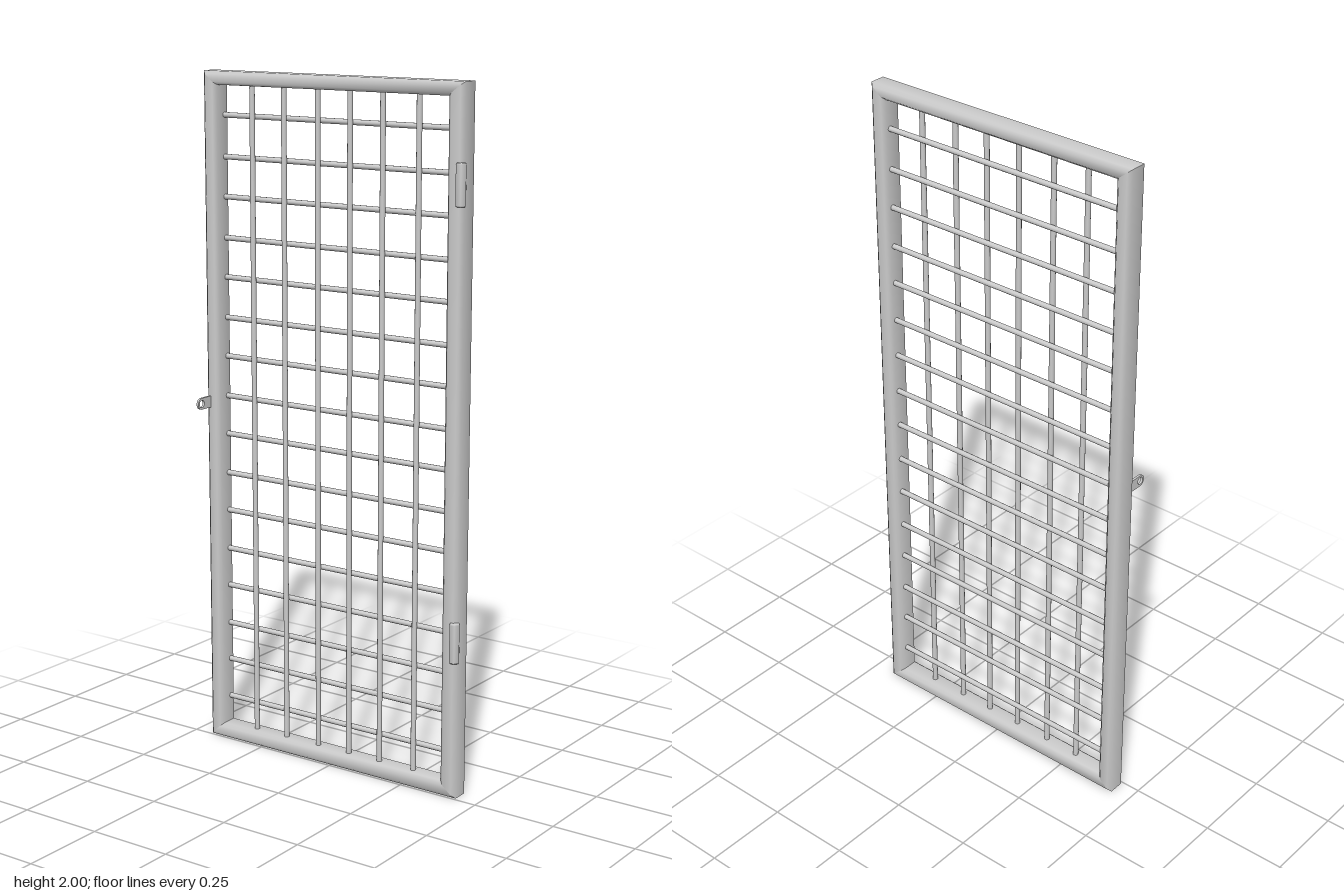
import * as THREE from 'three';

const grey = new THREE.MeshStandardMaterial({ color: 0xcccccc });

function add(group, name, geometry) {
  const mesh = new THREE.Mesh(geometry, grey);
  mesh.name = name;
  group.add(mesh);
  return mesh;
}

// Mitred rectangular frame: each side is a smooth eight-sided bar, creased at the mitres
function frameGeometry() {
  const outer = [[-0.442, 0], [0.432, 0], [0.432, 2], [-0.442, 2]];
  const inner = [[-0.395, 0.043], [0.381, 0.043], [0.381, 1.961], [-0.395, 1.961]];
  // Section points: [share of the way from outer to inner edge, z]
  const section = [
    [0, -0.053], [0, -0.008], [0.22, 0.002], [0.78, 0.002],
    [1, -0.008], [1, -0.053], [0.78, -0.063], [0.22, -0.063],
  ];
  const positions = [], indices = [];
  const n = section.length;
  for (let side = 0; side < 4; side++) {
    const base = side * n * 2;
    for (const corner of [side, (side + 1) % 4]) {
      const o = outer[corner], i = inner[corner];
      for (const [t, z] of section) {
        positions.push(o[0] + (i[0] - o[0]) * t, o[1] + (i[1] - o[1]) * t, z);
      }
    }
    for (let k = 0; k < n; k++) {
      const a = base + k, e = base + (k + 1) % n;
      indices.push(a, a + n, e + n, a, e + n, e);
    }
  }
  const geometry = new THREE.BufferGeometry();
  geometry.setAttribute('position', new THREE.Float32BufferAttribute(positions, 3));
  geometry.setIndex(indices);
  geometry.computeVertexNormals();
  return geometry;
}

// Six-sided barrel with slightly chamfered ends
function hingeGeometry() {
  const r = 0.016, h = 0.058;
  const profile = [[0, -h], [r - 0.003, -h], [r, -h + 0.004], [r, h - 0.004], [r - 0.003, h], [0, h]];
  return new THREE.LatheGeometry(profile.map(([x, y]) => new THREE.Vector2(x, y)), 6).rotateY(Math.PI / 6);
}

// Flat tab with a rounded, pierced end
function lugGeometry() {
  const radius = 0.017, reach = 0.044;
  const shape = new THREE.Shape();
  shape.moveTo(-0.005, -radius);
  shape.lineTo(reach, -radius);
  shape.absarc(reach, 0, radius, -Math.PI / 2, Math.PI / 2, false);
  shape.lineTo(-0.005, radius);
  shape.closePath();
  const hole = new THREE.Path();
  hole.absarc(reach, 0, 0.011, 0, Math.PI * 2, true);
  shape.holes.push(hole);
  const geometry = new THREE.ExtrudeGeometry(shape, { depth: 0.007, bevelEnabled: false, curveSegments: 12 });
  return geometry.rotateY(-Math.PI / 2);
}

export function createModel() {
  const gate = new THREE.Group();
  gate.name = 'barredGate';

  add(gate, 'frame', frameGeometry());

  // Grid of round bars, the horizontal ones behind the vertical ones
  const bars = new THREE.Group();
  bars.name = 'bars';
  gate.add(bars);
  const uprightGeometry = new THREE.CylinderGeometry(0.008, 0.008, 1.95, 10);
  for (const x of [-0.286, -0.175, -0.059, 0.05, 0.158, 0.275]) {
    add(bars, 'verticalBar', uprightGeometry).position.set(x, 1, -0.028);
  }
  const crossGeometry = new THREE.CylinderGeometry(0.008, 0.008, 0.81, 10).rotateZ(Math.PI / 2);
  for (let i = 0; i < 16; i++) {
    const y = 0.122 + 0.1167 * i + (i % 2) * 0.002;
    add(bars, 'horizontalBar', crossGeometry).position.set(-0.007, y, -0.041);
  }

  // Hinge barrels on the left edge
  const hinge = hingeGeometry();
  for (const y of [0.462, 1.731]) {
    add(gate, 'hinge', hinge).position.set(0.425, y, 0);
  }

  // Padlock tab on the right edge
  add(gate, 'lockTab', lugGeometry()).position.set(-0.424, 1.041, 0);

  return gate;
}
